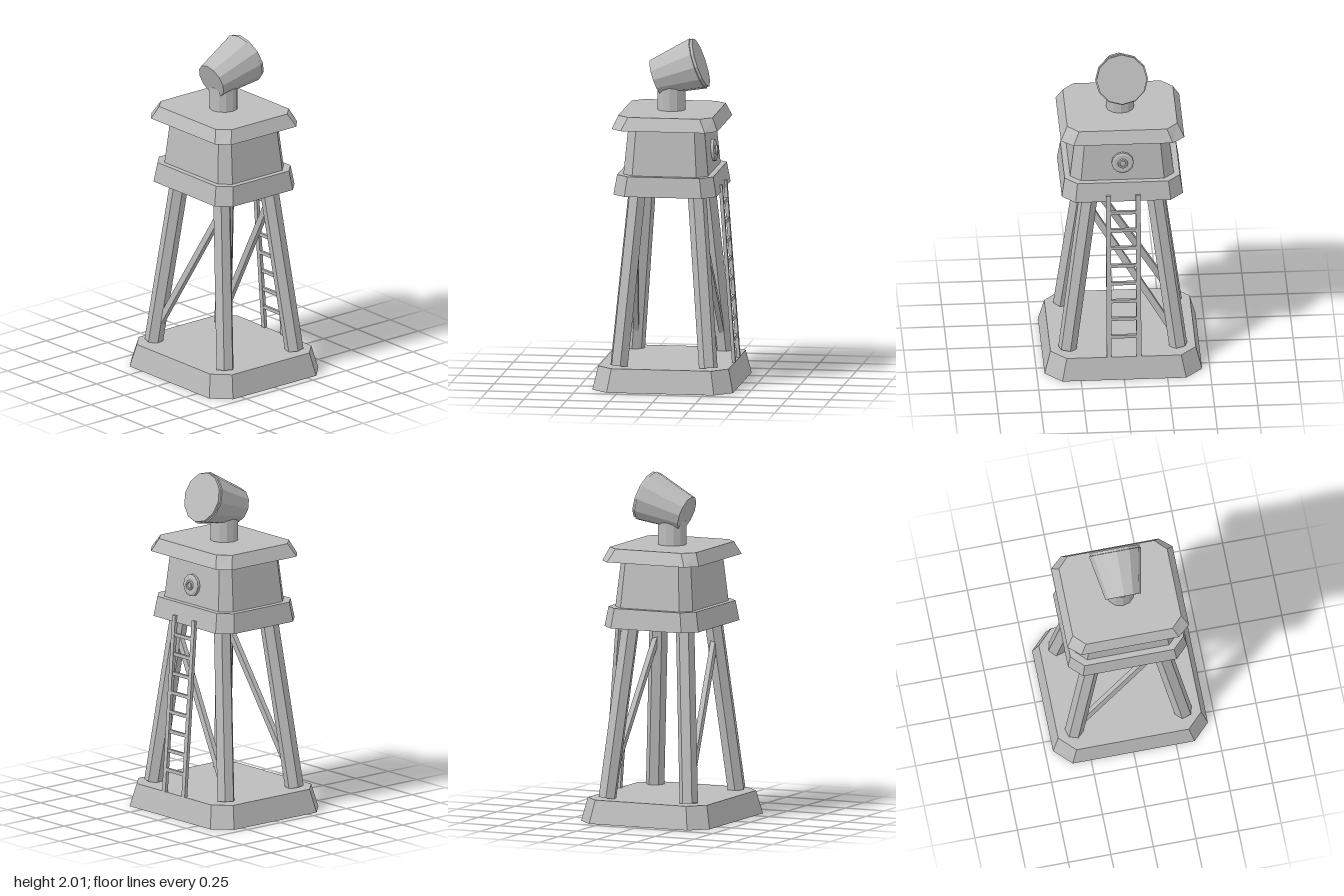
import * as THREE from 'three';

const grey = new THREE.MeshStandardMaterial({ color: 0xbcbcbc, flatShading: true, side: THREE.DoubleSide });
grey.name = 'plain grey';

function add(parent, name, geometry) {
  const mesh = new THREE.Mesh(geometry, grey);
  mesh.name = name;
  parent.add(mesh);
  return mesh;
}

// Outline of a rectangle with cut corners: half width, half depth, corner cuts
function ring(y, w, d, cx, cz) {
  return [
    [w, d - cz], [w, -d + cz], [w - cx, -d], [-w + cx, -d],
    [-w, -d + cz], [-w, d - cz], [-w + cx, d], [w - cx, d],
  ].map(([x, z]) => new THREE.Vector3(x, y, z));
}

// Tapered block between two cut-corner outlines
function taperedBlock(low, high, openBottom = false) {
  const points = [];
  const n = low.length;
  for (let i = 0; i < n; i++) {
    const j = (i + 1) % n;
    points.push(low[i], low[j], high[j], low[i], high[j], high[i]);
    if (i > 0 && i < n - 1) {
      points.push(high[0], high[i], high[i + 1]);
      if (!openBottom) points.push(low[0], low[i + 1], low[i]);
    }
  }
  const geometry = new THREE.BufferGeometry().setFromPoints(points);
  geometry.computeVertexNormals();
  return geometry;
}

// Place a y-aligned mesh so it runs from a to b
function span(mesh, a, b) {
  mesh.position.addVectors(a, b).multiplyScalar(0.5);
  mesh.quaternion.setFromUnitVectors(new THREE.Vector3(0, 1, 0), b.clone().sub(a).normalize());
  return mesh;
}

export function createModel() {
  const tower = new THREE.Group();
  tower.name = 'watchtower';
  const v = (x, y, z) => new THREE.Vector3(x, y, z);

  // Hollow base, deck, cabin and roof
  add(tower, 'base', taperedBlock(ring(0, 0.455, 0.41, 0.097, 0.097), ring(0.135, 0.42, 0.38, 0.09, 0.09), true));
  add(tower, 'deck', taperedBlock(ring(1.13, 0.35, 0.3, 0.075, 0.075), ring(1.245, 0.333, 0.28, 0.07, 0.07)));
  add(tower, 'cabin', taperedBlock(ring(1.245, 0.3, 0.247, 0.06, 0.06), ring(1.515, 0.268, 0.222, 0.052, 0.052)));
  add(tower, 'roof', taperedBlock(ring(1.515, 0.357, 0.308, 0.07, 0.062), ring(1.59, 0.318, 0.275, 0.064, 0.066)));

  // Four splayed six-sided legs
  for (const sx of [-1, 1]) {
    for (const sz of [-1, 1]) {
      const foot = v(sx * 0.32, 0.137, sz * 0.26);
      const head = v(sx * 0.187, 1.15, sz * 0.173);
      const geometry = new THREE.CylinderGeometry(0.054, 0.054, foot.distanceTo(head), 6);
      geometry.rotateY(sx * sz * Math.PI / 4);
      span(add(tower, 'leg', geometry), foot, head);
    }
  }

  // Diagonal braces across the front and back
  for (const sz of [-1, 1]) {
    const low = v(-0.3, 0.21, sz * 0.254);
    const high = v(0.2, 1.05, sz * 0.182);
    const geometry = new THREE.BoxGeometry(0.037, low.distanceTo(high), 0.03);
    span(add(tower, sz > 0 ? 'frontBrace' : 'backBrace', geometry), low, high);
  }

  // Leaning ladder at the back
  const ladder = new THREE.Group();
  ladder.name = 'ladder';
  tower.add(ladder);
  const bottom = v(0, 0.135, -0.375);
  const top = v(0, 1.17, -0.298);
  for (const sx of [-1, 1]) {
    const offset = v(sx * 0.086, 0, 0);
    const rail = add(ladder, 'ladderRail', new THREE.BoxGeometry(0.028, bottom.distanceTo(top), 0.02));
    span(rail, bottom.clone().add(offset), top.clone().add(offset));
  }
  for (let i = 0; i < 8; i++) {
    const y = 0.265 + i * 0.1135;
    const rung = add(ladder, 'ladderRung', new THREE.BoxGeometry(0.16, 0.02, 0.016));
    rung.position.lerpVectors(bottom, top, (y - bottom.y) / (top.y - bottom.y));
  }

  // Round stepped plate on the back wall of the cabin
  const plate = add(tower, 'backPlate', new THREE.LatheGeometry([
    [0, -0.01], [0.064, -0.01], [0.064, 0.014], [0.052, 0.02], [0.03, 0.02],
    [0.027, 0.03], [0.018, 0.03], [0.015, 0.022], [0, 0.022],
  ].map(([x, y]) => new THREE.Vector2(x, y)), 12));
  plate.position.set(0, 1.357, -0.239);
  plate.rotation.x = -Math.PI / 2 + 0.09;

  // Neck and tilted lamp
  add(tower, 'neck', new THREE.CylinderGeometry(0.082, 0.082, 0.16, 12)).position.set(0, 1.65, 0.002);
  const lamp = add(tower, 'lamp', new THREE.LatheGeometry([
    [0, 0], [0.104, 0], [0.153, 0.262], [0.146, 0.264], [0.146, 0.28], [0, 0.28],
  ].map(([x, y]) => new THREE.Vector2(x, y)), 12));
  lamp.position.set(0, 1.775, 0.095);
  lamp.rotation.x = -1.235;

  return tower;
}
